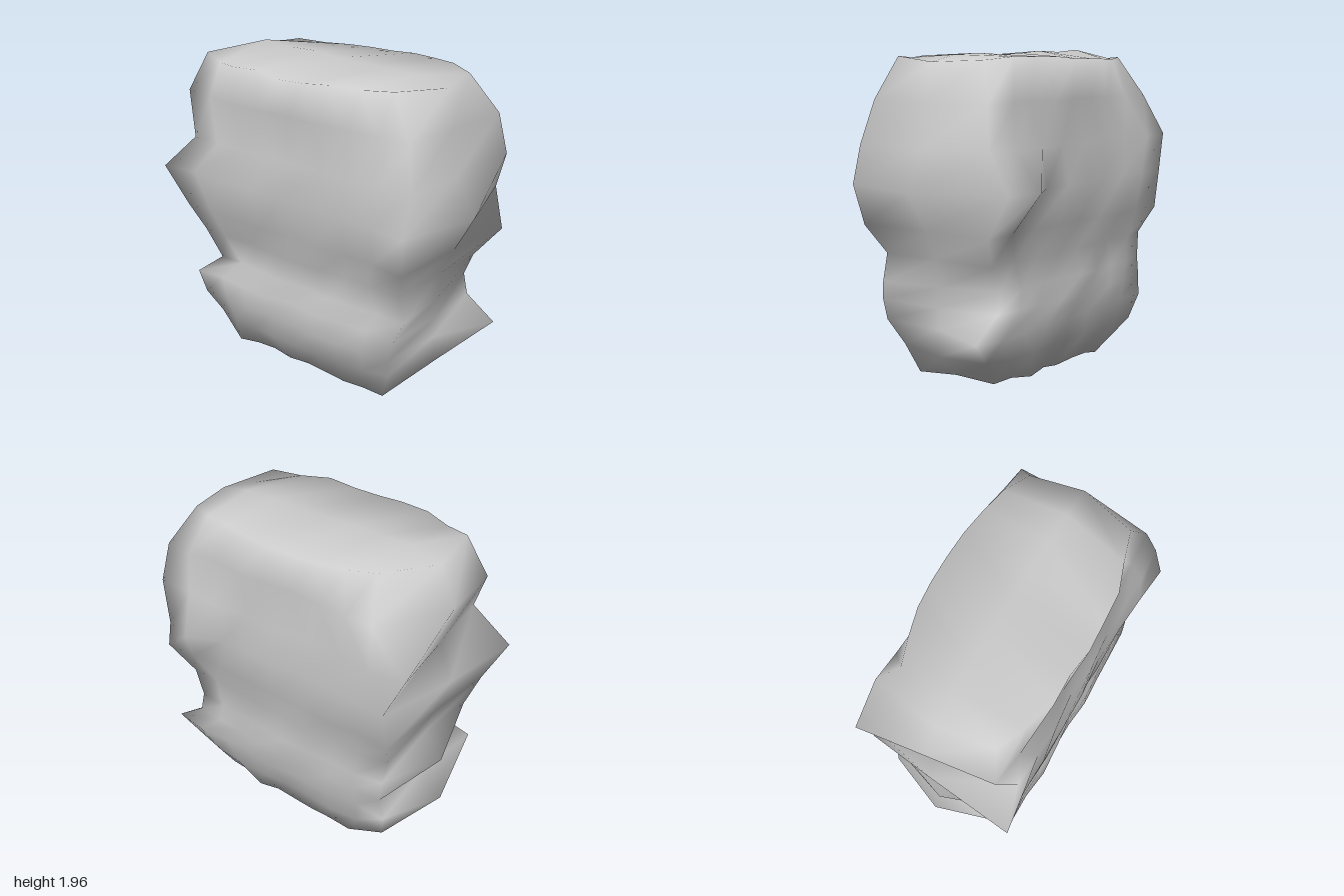
import * as THREE from 'three';

// Small seeded noise in -1..1
function makeNoise(seed) {
  let s = seed;
  return () => {
    s = (s * 16807) % 2147483647;
    return (s / 2147483647) * 2 - 1;
  };
}

// Cross-sections from the ground up: y, left x (front, middle, back),
// right x (front, middle, back), front z, back z, corner rounding (front, back)
const LEVELS = [
  [0.03, -0.60, -0.64, -0.60, 0.59, 0.58, 0.56, 0.33, -0.28, 0.00, 0.06],
  [0.20, -0.72, -0.77, -0.76, 0.67, 0.75, 0.74, 0.44, -0.37, 0.06, 0.05],
  [0.35, -0.77, -0.95, -0.80, 0.73, 0.74, 0.90, 0.48, -0.40, 0.02, 0.03],
  [0.49, -0.82, -0.80, -0.77, 0.77, 0.75, 0.70, 0.48, -0.41, 0.01, 0.02],
  [0.61, -0.68, -0.92, -0.78, 0.81, 0.75, 0.67, 0.43, -0.42, 0.02, 0.05],
  [0.77, -0.81, -0.80, -0.81, 0.77, 0.77, 0.74, 0.43, -0.40, 0.01, 0.02],
  [0.95, -0.87, -0.86, -0.86, 0.86, 0.86, 0.88, 0.50, -0.46, 0.00, 0.00],
  [1.19, -1.00, -0.95, -0.85, 0.90, 1.00, 0.78, 0.52, -0.475, -0.04, -0.03],
  [1.42, -0.77, -0.86, -0.96, 0.90, 0.88, 0.88, 0.51, -0.46, 0.00, -0.01],
  [1.68, -0.89, -0.95, -0.72, 0.84, 0.84, 0.84, 0.47, -0.43, 0.03, 0.00],
  [1.92, -0.77, -0.83, -0.64, 0.69, 0.79, 0.71, 0.51, -0.43, 0.14, 0.12],
];
const COLS = 8;
const RING = 2 * COLS + 4;

function rockGeometry() {
  const noise = makeNoise(4217);
  const pos = [];
  const index = [];
  const quad = (a, b, c, d) => index.push(a, b, c, a, c, d);
  const top = LEVELS.length - 1;
  const corner = (t) => Math.abs(2 * t - 1) ** 3;

  // One loop per level: front, right middle, back, left middle
  LEVELS.forEach(([y, lf, lm, lb, rf, rm, rb, zf, zb, roundF, roundB], level) => {
    const rough = level === 0 || level === top ? 0.02 : 0.008;
    const put = (x, z, wobble) => pos.push(x, y + noise() * rough, z + noise() * wobble);
    for (let i = 0; i <= COLS; i++) {
      const t = i / COLS;
      put(THREE.MathUtils.lerp(lf, rf, t), zf + 0.01 - 0.02 * t - roundF * corner(t), 0.015);
    }
    put(rm, 0.02, 0.02);
    for (let i = 0; i <= COLS; i++) {
      // A single knob sticks out high on the back
      const knob = y === 1.19 && i === 1 ? 0.09 : 0;
      put(THREE.MathUtils.lerp(rb, lb, i / COLS), zb + roundB * corner(i / COLS) - knob, 0.018);
    }
    put(lm, 0.02, 0.02);
  });

  // Walls between the loops
  for (let l = 0; l < top; l++) {
    for (let j = 0; j < RING; j++) {
      const k = (j + 1) % RING;
      const a = l * RING, b = a + RING;
      quad(a + j, a + k, b + k, b + j);
    }
  }

  // Bottom and top caps, each with a slightly uneven middle row
  for (const level of [0, top]) {
    const base = level * RING;
    const [y, , lm, , , rm] = LEVELS[level];
    const front = [], middle = [], back = [];
    for (let i = 0; i <= COLS; i++) {
      front.push(base + i);
      back.push(base + 2 * COLS + 2 - i);
      if (i === 0) middle.push(base + RING - 1);
      else if (i === COLS) middle.push(base + COLS + 1);
      else {
        middle.push(pos.length / 3);
        pos.push(THREE.MathUtils.lerp(lm, rm, i / COLS), y + (level ? 0.035 : -0.01) + noise() * 0.015, 0.02);
      }
    }
    for (const [near, far] of [[front, middle], [middle, back]]) {
      for (let i = 0; i < COLS; i++) {
        if (level) quad(near[i], near[i + 1], far[i + 1], far[i]);
        else quad(near[i], far[i], far[i + 1], near[i + 1]);
      }
    }
  }

  const geometry = new THREE.BufferGeometry();
  geometry.setAttribute('position', new THREE.Float32BufferAttribute(pos, 3));
  geometry.setIndex(index);
  geometry.computeVertexNormals();
  return geometry;
}

export function createModel() {
  const group = new THREE.Group();
  group.name = 'rock';
  const boulder = new THREE.Mesh(rockGeometry(), new THREE.MeshStandardMaterial({ color: 0xcccccc }));
  boulder.name = 'boulder';
  group.add(boulder);
  return group;
}
